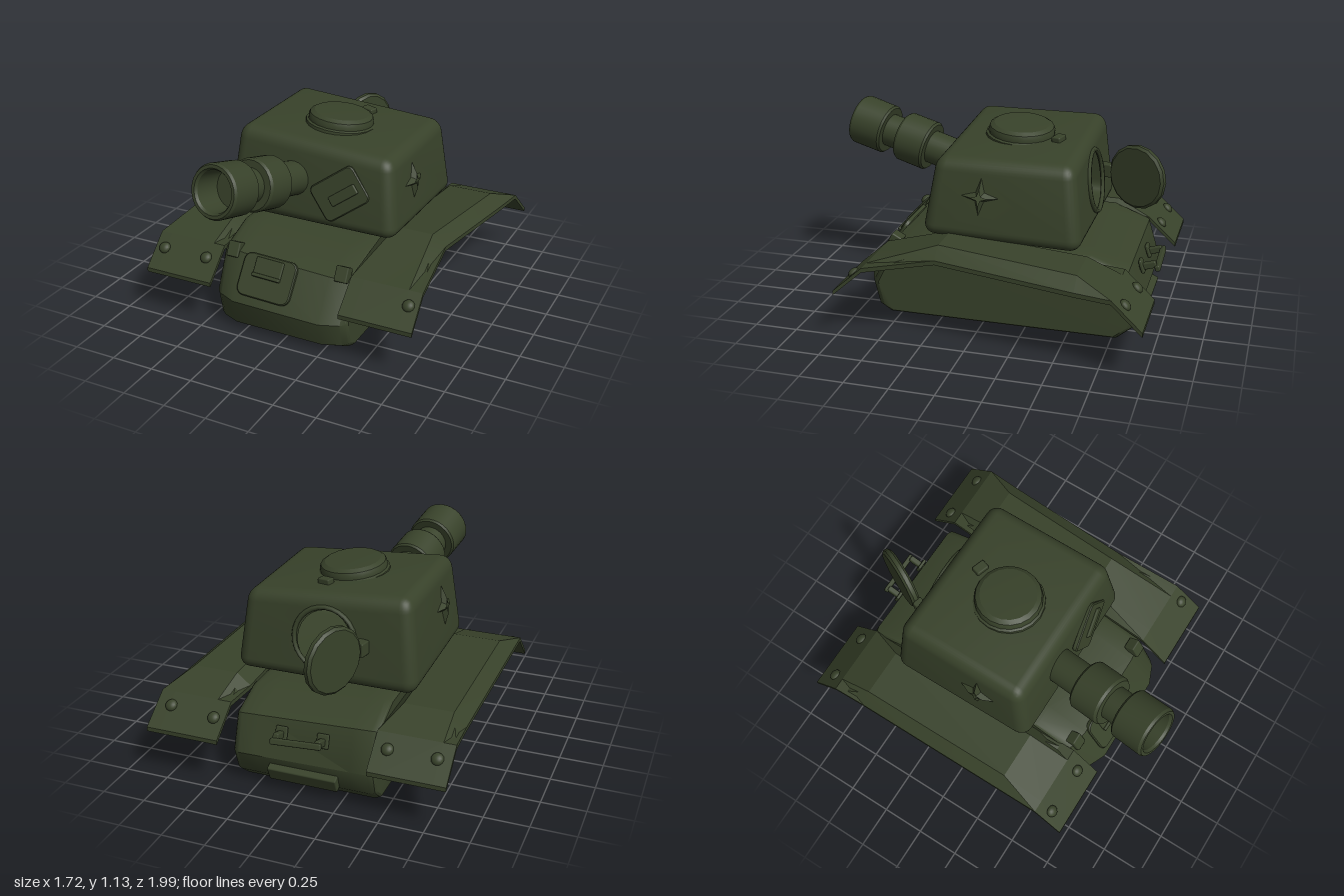
import * as THREE from 'three';
import { mergeGeometries, toCreasedNormals } from 'three/addons/utils/BufferGeometryUtils.js';
import { RoundedBoxGeometry } from 'three/addons/geometries/RoundedBoxGeometry.js';

const paint = new THREE.MeshStandardMaterial({ color: 0x38422a });
const sheet = new THREE.MeshStandardMaterial({ color: 0x38422a, side: THREE.DoubleSide });

function add(parent, name, geometry, pos = [0, 0, 0], rot = [0, 0, 0], material = paint) {
  const mesh = new THREE.Mesh(geometry, material);
  mesh.name = name;
  mesh.position.set(...pos);
  mesh.rotation.set(...rot);
  parent.add(mesh);
  return mesh;
}

// Closed skin over rings of points, capped at both ends
function loft(rings, crease = 0.6) {
  const n = rings[0].length, out = [];
  const tri = (...pts) => pts.forEach((p) => out.push(...p));
  for (let s = 0; s < rings.length - 1; s++) {
    const a = rings[s], b = rings[s + 1];
    for (let i = 0; i < n; i++) {
      const j = (i + 1) % n;
      tri(a[i], a[j], b[j]);
      tri(a[i], b[j], b[i]);
    }
  }
  const a = rings[0], b = rings[rings.length - 1];
  for (let i = 0; i < n / 2 - 1; i++) {
    const k = n - 1 - i;
    tri(b[i], b[i + 1], b[k - 1]);
    tri(b[i], b[k - 1], b[k]);
    tri(a[i], a[k - 1], a[i + 1]);
    tri(a[i], a[k], a[k - 1]);
  }
  const g = new THREE.BufferGeometry();
  g.setAttribute('position', new THREE.Float32BufferAttribute(out, 3));
  return toCreasedNormals(g, crease);
}

// Flat rounded plate with a small bevel, centred and facing +z
function plate(w, h, r, depth) {
  const s = new THREE.Shape(), x = w / 2 - r, y = h / 2 - r;
  s.absarc(x, y, r, 0, Math.PI / 2);
  s.absarc(-x, y, r, Math.PI / 2, Math.PI);
  s.absarc(-x, -y, r, Math.PI, Math.PI * 1.5);
  s.absarc(x, -y, r, Math.PI * 1.5, Math.PI * 2);
  return new THREE.ExtrudeGeometry(s, {
    depth, curveSegments: 4, bevelSize: 0.006, bevelThickness: 0.006, bevelOffset: -0.006, bevelSegments: 1,
  });
}

// Hull: side profile (z, y) swept across x, with front corners cut back
function hullGeometry() {
  const profile = [[0.6, 0], [-0.78, 0], [-0.86, 0.07], [-0.9, 0.2], [-0.83, 0.42],
    [-0.62, 0.5], [0.32, 0.5], [0.57, 0.42], [0.72, 0.19], [0.68, 0.04]];
  const sections = [[-0.44, 0.06, 0.06], [-0.43, 0.025, 0.06], [-0.4, 0, 0.045], [-0.3, 0, 0],
    [0.24, 0, 0], [0.35, 0, 0.045], [0.375, 0.025, 0.06], [0.385, 0.06, 0.06]];
  return loft(sections.map(([x, inset, pull]) => profile.map(([z, y]) => {
    const cut = pull * THREE.MathUtils.clamp((z - 0.5) / 0.2, 0, 1);
    return [x, (y + (0.25 - y) * inset) * (1 - 0.11 * x), z + (-0.09 - z) * inset * 0.5 - cut];
  })));
}

// Fender: thin bent sheet; stations are [z, x from, x to, top y, edge drop]
function fenderGeometry(stations, inset) {
  return loft(stations.map(([z, x0, x1, y, drop]) => {
    const top = [[x0, y - drop], [x0 + inset, y], [x1 - inset, y], [x1, y - drop]];
    const under = top.map(([x, v]) => [x, v - 0.025, z]);
    return [...under, ...top.reverse().map(([x, v]) => [x, v, z])];
  }), 0.25);
}

// Turret: rounded box with a round rear opening and torn side holes, then tapered and skewed
const W = 1.07, H = 0.5, D = 0.9, R = 0.075;
function turretGeometry() {
  const box = new RoundedBoxGeometry(W, H, D, 4, R);
  const p = box.attributes.position, nrm = box.attributes.normal, kept = [];
  for (let i = 0; i < p.count; i += 3) {
    const flat = (f) => [0, 1, 2].every((k) => f(i + k));
    if (flat((v) => nrm.getZ(v) < -0.999) || flat((v) => nrm.getX(v) > 0.999) || flat((v) => nrm.getX(v) < -0.999)) continue;
    for (let k = 0; k < 3; k++) kept.push(p.getX(i + k), p.getY(i + k), p.getZ(i + k));
  }
  const shell = new THREE.BufferGeometry();
  shell.setAttribute('position', new THREE.Float32BufferAttribute(kept, 3));
  const parts = [shell];

  const holedFace = (w, dist, hole, turn) => {
    const x = w / 2 - R, y = H / 2 - R;
    const s = new THREE.Shape([[-x, -y], [x, -y], [x, y], [-x, y]].map((c) => new THREE.Vector2(...c)));
    s.holes.push(new THREE.Path(hole));
    const g = new THREE.ShapeGeometry(s).toNonIndexed();
    g.deleteAttribute('uv');
    g.deleteAttribute('normal');
    parts.push(g.translate(0, 0, dist).rotateY(turn));
  };
  const ring = (n, cx, cy, radius) => Array.from({ length: n }, (_, i) => {
    const a = (i / n) * Math.PI * 2;
    return new THREE.Vector2(cx + Math.cos(a) * radius(i), cy + Math.sin(a) * radius(i));
  });

  holedFace(W, D / 2, ring(24, 0, 0, () => 0.165), Math.PI);
  for (const side of [1, -1]) {
    const starR = (i) => (i % 2 ? 0.038 : 0.115);
    const star = ring(8, -side * 0.13, 0.035, starR);
    const lip = ring(8, -side * 0.13, 0.035, (i) => starR(i) * 0.4);
    holedFace(D, W / 2, star, side * Math.PI / 2);
    // torn metal bent outward around the hole
    const flaps = [];
    star.forEach((a, i) => {
      const j = (i + 1) % 8, z = W / 2;
      const A = [a.x, a.y, z], B = [star[j].x, star[j].y, z];
      const C = [lip[j].x, lip[j].y, z + 0.03], E = [lip[i].x, lip[i].y, z + 0.03];
      flaps.push(...A, ...B, ...C, ...A, ...C, ...E);
    });
    const g = new THREE.BufferGeometry();
    g.setAttribute('position', new THREE.Float32BufferAttribute(flaps, 3));
    parts.push(g.rotateY(side * Math.PI / 2));
  }

  const g = mergeGeometries(parts), q = g.attributes.position;
  for (let i = 0; i < q.count; i++) {
    const t = q.getY(i) / H + 0.5;
    const x = -0.025 + q.getX(i) * (1 - 0.11 * t);
    const z = -0.13 - 0.01 * t + q.getZ(i) * (1.015 - 0.15 * t);
    const low = 0.55 + 0.03 * z, high = 1.035 - 0.072 * x;
    q.setXYZ(i, x, low + (high - low) * t, z);
  }
  return toCreasedNormals(g, 0.45);
}

// Cannon: stepped barrel with two collars and a hollow muzzle
function cannonGeometry() {
  const profile = [[0, 0], [0.1, 0], [0.1, 0.285], [0.14, 0.285], [0.15, 0.297], [0.15, 0.465], [0.14, 0.48],
    [0.1, 0.48], [0.1, 0.58], [0.14, 0.58], [0.15, 0.592], [0.152, 0.775], [0.143, 0.79], [0.125, 0.79],
    [0.115, 0.775], [0.11, 0.62], [0, 0.62]];
  return toCreasedNormals(new THREE.LatheGeometry(profile.map((c) => new THREE.Vector2(...c)), 28), 0.5);
}

export function createModel() {
  const model = new THREE.Group();
  model.name = 'tank';
  const box = (w, h, d, r = 0.008) => new RoundedBoxGeometry(w, h, d, 1, r);

  add(model, 'hull', hullGeometry());

  // Front plate details
  const front = new THREE.Group();
  front.name = 'frontHatch';
  front.position.set(-0.12, 0.335, 0.622);
  front.rotation.set(-0.57, 0, -0.03);
  model.add(front);
  add(front, 'frontHatchPlate', plate(0.335, 0.25, 0.05, 0.02));
  add(front, 'frontVisor', box(0.175, 0.115, 0.025), [0, 0.05, 0.025]);
  add(front, 'frontVisorLip', box(0.175, 0.022, 0.04), [0, 0.005, 0.03]);
  for (const x of [-0.37, 0.31]) add(model, 'frontLug', box(0.075, 0.09, 0.07), [x, 0.43, 0.545], [-0.5, 0, 0]);

  // Rear plate details
  add(model, 'rearHandleBar', box(0.29, 0.035, 0.03), [-0.02, 0.35, -0.955], [0.3, 0, -0.06]);
  for (const x of [-0.14, 0.1]) {
    add(model, 'rearHandleBracket', box(0.035, 0.04, 0.1), [x, 0.35, -0.9], [0.3, 0, 0]);
    add(model, 'rearHandleFoot', box(0.07, 0.08, 0.02), [x, 0.345, -0.868], [0.34, 0, 0]);
  }
  add(model, 'rearStrip', box(0.4, 0.09, 0.05), [-0.03, 0.11, -0.885], [-0.4, 0, 0]);

  // Fenders, the left one bent out of line
  add(model, 'rightFender', fenderGeometry([
    [-0.99, -0.86, -0.43, 0.29, 0], [-0.82, -0.86, -0.43, 0.445, 0], [-0.62, -0.855, -0.435, 0.52, 0.075],
    [0.32, -0.855, -0.435, 0.525, 0.075], [0.57, -0.855, -0.43, 0.45, 0], [0.74, -0.855, -0.43, 0.29, 0],
  ], 0.07), undefined, undefined, sheet);
  add(model, 'leftFender', fenderGeometry([
    [-0.99, 0.43, 0.86, 0.295, 0], [-0.82, 0.42, 0.845, 0.45, 0], [-0.62, 0.4, 0.825, 0.525, 0.065],
    [0.16, 0.375, 0.755, 0.583, 0.06], [0.57, 0.37, 0.79, 0.445, 0], [0.74, 0.37, 0.8, 0.295, 0],
  ], 0.08), undefined, undefined, sheet);
  const bolts = [[-0.79, 0.39, 0.645], [-0.51, 0.39, 0.645], [0.735, 0.39, 0.635],
    [-0.78, 0.385, -0.89], [-0.51, 0.385, -0.89], [0.49, 0.38, -0.9], [0.76, 0.395, -0.88]];
  for (const b of bolts) {
    add(model, 'fenderBolt', new THREE.SphereGeometry(0.035, 12, 6, 0, Math.PI * 2, 0, Math.PI / 2), b,
      [Math.sign(b[2]) * 0.76, 0, 0]).scale.y = 0.7;
  }

  add(model, 'turret', turretGeometry(), undefined, undefined, sheet);

  // Cannon
  const cannon = add(model, 'cannon', cannonGeometry(), [-0.126, 0.795, 0.2], undefined, sheet);
  cannon.quaternion.setFromUnitVectors(new THREE.Vector3(0, 1, 0), new THREE.Vector3(-0.15, 0.25, 1).normalize());

  // Turret front panel
  const panel = new THREE.Group();
  panel.name = 'turretPanel';
  panel.position.set(0.165, 0.78, 0.282);
  panel.rotation.set(-0.15, 0.07, 0.63);
  model.add(panel);
  add(panel, 'turretPanelPlate', plate(0.3, 0.23, 0.035, 0.02));
  add(panel, 'turretPanelSlot', box(0.18, 0.06, 0.02), [0.02, -0.015, 0.028]);

  // Top hatch
  const lid = [[0, 0.07], [0.16, 0.065], [0.185, 0.05], [0.192, 0.03], [0.192, 0.012], [0.205, 0.005], [0.208, -0.03]];
  add(model, 'topHatch', toCreasedNormals(new THREE.LatheGeometry(
    lid.reverse().map((c) => new THREE.Vector2(...c)), 20), 0.5), [-0.03, 1.037, -0.12], [-0.06, 0, -0.09], sheet);
  add(model, 'topHatchClasp', box(0.08, 0.04, 0.055), [0.045, 1.04, -0.355], [0, -0.3, -0.07]);

  // Rear opening rim and the open door on its hinge
  add(model, 'rearRim', new THREE.TorusGeometry(0.178, 0.014, 6, 28), [-0.027, 0.79, -0.563], [0.13, 0, 0]);
  const door = new THREE.Group();
  door.name = 'rearDoor';
  door.position.set(-0.165, 0.785, -0.78);
  door.rotation.y = -0.45;
  model.add(door);
  add(door, 'rearDoorDisc', toCreasedNormals(new THREE.LatheGeometry(
    [[0, -0.025], [0.175, -0.025], [0.19, -0.012], [0.19, 0.012], [0.175, 0.025], [0, 0.025]]
      .map((c) => new THREE.Vector2(...c)), 16), 0.5), undefined, [0, 0, -Math.PI / 2]);
  add(model, 'rearHinge', box(0.06, 0.08, 0.07), [-0.25, 0.785, -0.585], [0, -0.2, 0]);
  return model;
}
